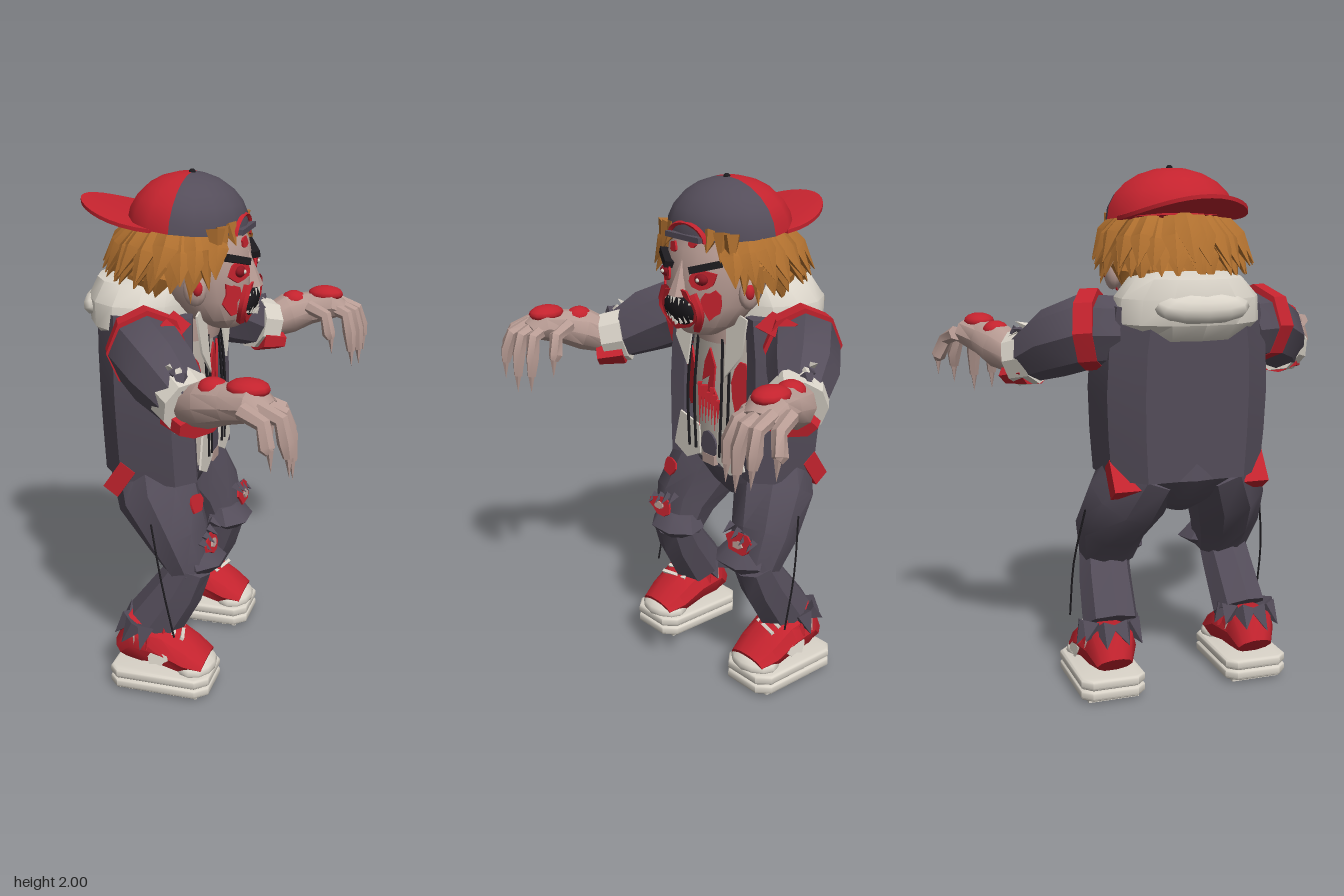
import * as THREE from 'three';
import { toCreasedNormals } from 'three/addons/utils/BufferGeometryUtils.js';

const V = (x, y, z) => new THREE.Vector3(x, y, z);
const paint = (name, color) => Object.assign(new THREE.MeshStandardMaterial({ color, side: THREE.DoubleSide }), { name });

export function createModel() {
  const model = new THREE.Group();
  const cloth = paint('charcoal cloth', 0x544d5a), red = paint('red', 0xc4232e), cream = paint('cream', 0xd9d3c8);
  const skin = paint('pale skin', 0xb79b93), hair = paint('ginger hair', 0xb0702f), black = paint('black', 0x1d1b1f);
  const gore = paint('dark red', 0x8e1722), shirtCol = paint('dirty shirt', 0xbab1a7);

  let seed = 7;
  const rnd = () => (seed = (seed * 16807) % 2147483647) / 2147483647;

  function add(name, geo, mat, parent = model) {
    const mesh = new THREE.Mesh(toCreasedNormals(geo, 0.65), mat);
    mesh.name = name;
    parent.add(mesh);
    return mesh;
  }

  // Closed skin through elliptical stations [x, y, z, sideRadius, upRadius].
  // "flat" keeps every ring horizontal.
  function loft(stations, ref, sides = 12, flat = false) {
    const pos = [], idx = [], n = stations.length;
    const pts = stations.map(s => V(s[0], s[1], s[2]));
    pts.forEach((c, i) => {
      const t = flat ? V(0, 1, 0) : pts[Math.min(i + 1, n - 1)].clone().sub(pts[Math.max(i - 1, 0)]).normalize();
      const side = ref.clone().cross(t).normalize(), up = t.clone().cross(side);
      const [, , , rw, rh = rw] = stations[i];
      for (let j = 0; j < sides; j++) {
        const a = (j / sides) * Math.PI * 2;
        pos.push(...c.clone().addScaledVector(side, rw * Math.cos(a)).addScaledVector(up, rh * Math.sin(a)));
      }
    });
    pos.push(...pts[0], ...pts[n - 1]);
    for (let j = 0; j < sides; j++) {
      const k = (j + 1) % sides, e = (n - 1) * sides;
      for (let i = 0; i < n - 1; i++) {
        const a = i * sides + j, b = i * sides + k;
        idx.push(a, b, b + sides, a, b + sides, a + sides);
      }
      idx.push(n * sides, k, j, n * sides + 1, e + j, e + k);
    }
    const g = new THREE.BufferGeometry();
    g.setAttribute('position', new THREE.Float32BufferAttribute(pos, 3));
    g.setIndex(idx);
    return g;
  }
  const Y = V(0, 1, 0), Z = V(0, 0, 1);
  // Horizontal rings [y, centreX, radiusX, radiusZ]
  const stack = (rings, sides = 16) => loft(rings.map(([y, x, rx, rz]) => [x, y, 0, rx, rz]), Z, sides, true);

  // Tapered spike from a to b
  function spike(name, a, b, r, mat, sides = 5) {
    const d = b.clone().sub(a), m = add(name, new THREE.ConeGeometry(r, d.length(), sides), mat);
    m.position.copy(a).addScaledVector(d, 0.5);
    m.quaternion.setFromUnitVectors(Y, d.normalize());
    return m;
  }
  const rod = (name, pts, r, mat) =>
    add(name, new THREE.TubeGeometry(new THREE.CatmullRomCurve3(pts), 6, r, 5), mat);

  // Thin outline facing a direction, its local x and y given as point pairs
  function plate(name, p, normal, pts, mat) {
    const shape = new THREE.Shape(pts.map(q => new THREE.Vector2(...q)));
    const m = add(name, new THREE.ExtrudeGeometry(shape, { depth: 0.008, bevelEnabled: false }), mat);
    m.position.copy(p);
    m.lookAt(p.clone().add(normal));
    return m;
  }
  // Ragged round plate
  function splat(name, p, normal, w, h, mat, rough = 0.3, n = 11) {
    const pts = [];
    for (let i = 0; i < n; i++) {
      const a = (i / n) * Math.PI * 2, k = 1 - rough * rnd();
      pts.push([Math.cos(a) * w * k, Math.sin(a) * h * k]);
    }
    return plate(name, p, normal, pts, mat);
  }
  function ball(name, p, s, mat) {
    const m = add(name, new THREE.SphereGeometry(1, 12, 8), mat);
    m.position.copy(p);
    m.scale.copy(s);
    return m;
  }
  function box(name, p, s, mat, rx = 0, ry = 0, rz = 0) {
    const m = add(name, new THREE.BoxGeometry(...s), mat);
    m.position.copy(p);
    m.rotation.set(rx, ry, rz);
    return m;
  }

  // Shirt and pelvis
  add('shirt', stack([[0.88, -0.18, 0.19, 0.25], [1.05, -0.17, 0.18, 0.23], [1.3, -0.18, 0.18, 0.25], [1.46, -0.18, 0.16, 0.24]]), shirtCol);
  add('pelvis', stack([[0.71, -0.16, 0.06, 0.05], [0.77, -0.18, 0.13, 0.15], [0.86, -0.19, 0.19, 0.26], [0.94, -0.19, 0.18, 0.26]]), cloth);
  add('neck', stack([[1.38, -0.08, 0.11, 0.13], [1.52, -0.04, 0.1, 0.12]]), skin);

  // Open jacket: C-shaped plan pulled up and tapered
  const outer = [[0.0, 0.185], [0.015, 0.25], [-0.05, 0.325], [-0.27, 0.315], [-0.37, 0.2]];
  const inner = [[-0.34, 0.17], [-0.25, 0.27], [-0.07, 0.28], [-0.03, 0.185]];
  const flip = list => list.map(([x, z]) => [x, -z]).reverse();
  const plan = [...outer, ...flip(outer), ...flip(inner), ...inner];
  const jacketGeo = new THREE.ExtrudeGeometry(new THREE.Shape(plan.map(p => new THREE.Vector2(...p))), { depth: 0.64, steps: 4, bevelEnabled: false });
  jacketGeo.rotateX(-Math.PI / 2);
  const jp = jacketGeo.attributes.position;
  for (let i = 0; i < jp.count; i++) {
    const t = jp.getY(i) / 0.64;
    jp.setXYZ(i, jp.getX(i) - 0.02 * t, 0.86 + jp.getY(i), jp.getZ(i) * (0.94 + 0.18 * t - 0.24 * t * t * t));
  }
  add('jacket', jacketGeo, cloth);

  // Thrown-back hood
  add('hood', stack([[1.38, -0.22, 0.19, 0.24], [1.44, -0.25, 0.21, 0.28], [1.53, -0.25, 0.22, 0.27], [1.6, -0.24, 0.2, 0.21], [1.63, -0.2, 0.12, 0.14]], 14), cream);
  const hoodTip = ball('hoodFold', V(-0.42, 1.5, 0), V(0.07, 0.06, 0.18), cream);
  hoodTip.rotation.z = 0.4;

  // Blood and tears on the shirt
  for (let i = 0; i < 7; i++) {
    const z = (i - 3) * 0.018;
    spike('bloodDrip', V(0.018, 1.15 + rnd() * 0.06, z), V(0.02, 1.0 + rnd() * 0.06, z), 0.012, red, 4);
  }
  plate('chestBlood', V(0.006, 1.25, 0), V(1, 0, 0), [[0, 0.1], [0.03, 0.03], [0.02, -0.06], [0.045, -0.1], [-0.02, -0.08], [0, -0.01], [-0.045, -0.04], [-0.03, 0.04]], red);

  for (const s of [1, -1]) {
    const P = (x, y, z) => V(x, y, z * s);
    const S = list => list.map(([x, y, z, ...r]) => [x, y, z * s, ...r]);
    const wide = list => list.map(([z, y]) => [-z * s, y]);

    // Shirt front
    splat('shirtBlood', P(-0.022, 1.2, 0.145), P(1, 0, 0.35), 0.045, 0.13, red, 0.15);
    plate('shirtTail', V(0.015, 0.96, 0), V(1, 0, 0), wide([[0.055, 0.06], [0.17, 0.09], [0.21, -0.06], [0.13, -0.1], [0.05, -0.06]]), cream);
    plate('collar', V(0.012, 1.4, 0), V(1, 0.12, 0), wide([[0.08, 0.13], [0.2, 0.1], [0.19, -0.04], [0.11, -0.14], [0.1, 0]]), cream);
    for (const z of [0.07, 0.11]) rod('shirtTear', [P(0.01, 1.4, z), P(0.025, 1.15, z + 0.01), P(0.026, 0.92, z)], 0.006, black);
    box('hemPatch', P(-0.275, 0.865, 0.255), [0.07, 0.13, 0.1], red, 0, 0, -0.6);

    // Sleeve
    add('sleeve', loft(S([[-0.2, 1.4, 0.22, 0.13], [-0.14, 1.4, 0.35, 0.14], [-0.04, 1.35, 0.45, 0.132], [0.07, 1.28, 0.54, 0.095]]), Y, 8), cloth);
    add('shoulderBand', loft(S([[-0.165, 1.41, 0.3, 0.14, 0.15], [-0.13, 1.405, 0.36, 0.15, 0.152]]), Y, 8), red);
    plate('shoulderPatch', P(-0.045, 1.49, 0.3), P(0.8, 0.6, 0.2), wide([[-0.08, -0.02], [-0.03, 0.05], [0.09, 0.02], [0.04, -0.05]]), red);
    add('innerCuff', loft(S([[0.035, 1.3, 0.5, 0.112], [0.095, 1.28, 0.565, 0.105]]), Y, 9), cream);
    add('tornCuff', loft(S([[0.05, 1.24, 0.5, 0.105, 0.06], [0.13, 1.22, 0.57, 0.09, 0.045]]), Y, 7), red);
    for (let i = 0; i < 4; i++)
      spike('sleeveRag', P(0.0 + i * 0.02, 1.39, 0.5 + i * 0.02), P(0.02 + i * 0.02, 1.43 - i * 0.03, 0.58 + i * 0.01), 0.03, i % 2 ? cloth : cream, 4);

    // Forearm, hand and wounds
    add('forearm', loft(S([[0.08, 1.28, 0.55, 0.065], [0.17, 1.32, 0.61, 0.085], [0.25, 1.34, 0.645, 0.07], [0.34, 1.36, 0.67, 0.09, 0.065], [0.39, 1.34, 0.68, 0.07, 0.035]]), Y, 10), skin);
    ball('forearmWound', P(0.19, 1.378, 0.62), V(0.055, 0.04, 0.052), red);
    ball('handWound', P(0.32, 1.405, 0.66), V(0.075, 0.033, 0.06), red);
    const tips = [[0.37, 1.19, 0.545], [0.45, 1.13, 0.59], [0.47, 1.12, 0.66], [0.475, 1.16, 0.74], [0.43, 1.2, 0.81]];
    tips.forEach(([x, y, z], i) => {
      const bz = 0.59 + i * 0.041;
      add('finger', loft(S([[x - 0.11, 1.36, bz, 0.03], [x - 0.03, 1.33, (bz + z) / 2, 0.027], [x - 0.01, 1.26, z, 0.028], [x, y + 0.05, z, 0.018]]), V(0, 0.3, 1), 6), skin);
      spike('nail', P(x, y + 0.06, z), P(x + 0.005, y - 0.02, z), 0.015, skin);
    });

    // Leg
    add('thigh', loft(S([[-0.2, 0.9, 0.14, 0.17, 0.14], [-0.15, 0.77, 0.2, 0.165, 0.155], [-0.06, 0.63, 0.24, 0.125, 0.14], [-0.01, 0.5, 0.24, 0.085, 0.11]]), Z, 9), cloth);
    add('shin', loft(S([[0.0, 0.52, 0.25, 0.08, 0.1], [-0.05, 0.42, 0.26, 0.1, 0.105], [-0.15, 0.265, 0.27, 0.115, 0.11]]), Z, 8), cloth);
    add('kneeFlap', loft(S([[0.0, 0.59, 0.22, 0.06, 0.1], [0.02, 0.53, 0.205, 0.1, 0.13], [0.015, 0.48, 0.22, 0.05, 0.06]]), Z, 7, true), cloth);
    splat('kneeWound', P(0.07, 0.62, 0.245), P(1, 0.25, 0), 0.085, 0.05, red, 0.4);
    splat('kneeBone', P(0.08, 0.62, 0.245), P(1, 0.25, 0), 0.03, 0.018, skin);
    for (let i = 0; i < 4; i++)
      spike('kneeThread', P(0.05, 0.68 - i * 0.012, 0.18 + i * 0.04), P(0.095, 0.65 - i * 0.012, 0.17 + i * 0.045), 0.02, cloth, 4);
    rod('looseThread', [P(-0.13, 0.72, 0.36), P(-0.08, 0.5, 0.395), P(-0.03, 0.27, 0.4)], 0.004, black);
    for (let i = 0; i < 9; i++) {
      const a = (i / 9) * Math.PI * 2, c = Math.cos(a), d = Math.sin(a), lift = rnd() * 0.05;
      if (c < 0.5) spike('trouserRag', P(-0.17 + c * 0.07, 0.28, 0.285 + d * 0.085), P(-0.19 + c * 0.12, 0.19 + lift, 0.285 + d * 0.13), 0.045, cloth, 4);
      spike('ankleGore', P(-0.16 + c * 0.08, 0.2, 0.29 + d * 0.085), P(-0.16 + c * 0.1, 0.25 + lift, 0.29 + d * 0.1), 0.028, i % 3 ? red : skin, 4);
    }

    // Shoe with layered, ribbed sole
    add('shoe', loft(S([[-0.27, 0.14, 0.29, 0.07, 0.05], [-0.22, 0.19, 0.29, 0.1, 0.11], [-0.1, 0.185, 0.29, 0.115, 0.095], [0.0, 0.14, 0.29, 0.11, 0.07], [0.07, 0.12, 0.29, 0.09, 0.035]]), Y, 10), red);
    ball('toeCap', P(0.025, 0.105, 0.29), V(0.082, 0.045, 0.113), cream);
    for (let i = 0; i < 3; i++) box('lace', P(-0.03 - i * 0.035, 0.235 + i * 0.016, 0.29), [0.014, 0.012, 0.12], cream, 0, s * 0.25, -0.5);
    splat('sideMark', P(-0.1, 0.16, 0.398), P(0, 0.2, 1), 0.055, 0.035, cream, 0.5);
    const w = 0.115, sole = new THREE.Shape();
    sole.moveTo(-0.29, -w + 0.03).lineTo(-0.26, -w).lineTo(0.05, -w).lineTo(0.09, -w + 0.04)
      .lineTo(0.09, w - 0.04).lineTo(0.05, w).lineTo(-0.26, w).lineTo(-0.29, w - 0.03);
    for (const y of [0.026, 0.068]) {
      const g = new THREE.ExtrudeGeometry(sole, { depth: 0.016, bevelSize: 0.012, bevelThickness: 0.012, bevelSegments: 3 });
      add('sole', g.rotateX(-Math.PI / 2), cream).position.set(0, y, 0.295 * s);
    }
    for (let i = 0; i < 8; i++) box('tread', P(-0.26 + i * 0.044, 0.01, 0.295), [0.018, 0.02, 0.2], cream);

    // Ear, eye, brow and cheek
    ball('ear', P(0.0, 1.6, 0.205), V(0.045, 0.06, 0.03), skin);
    ball('earWound', P(0.015, 1.61, 0.222), V(0.02, 0.03, 0.018), red);
    splat('eyeWound', P(0.134, 1.655, 0.1), P(1, 0.05, 0.5), 0.07, 0.045, red, 0.3);
    ball('eye', P(0.14, 1.655, 0.098), V(0.02, 0.022, 0.032), gore);
    ball('pupil', P(0.158, 1.655, 0.1), V(0.008, 0.008, 0.008), cream);
    box('brow', P(0.128, 1.7, 0.11), [0.04, 0.026, 0.12], black, -0.3 * s, -0.5 * s, 0);
    splat('cheekBlood', P(0.118, 1.565, 0.13), P(1, 0, 0.75), 0.05, 0.075, red, 0.5);
    rod('jawBlood', [P(0.165, 1.6, 0.08), P(0.155, 1.53, 0.11), P(0.135, 1.46, 0.07)], 0.016, red);

    // Locks either side of the brow and over the ears
    [0.1, 0.145, 0.18].forEach((z, i) =>
      spike('fringeLock', P(0.1 - z * z, 1.82, z), P(0.15 - z * z * 2, 1.75 - i * 0.03, z * 1.15), 0.038, hair));
    for (let i = 0; i < 3; i++)
      spike('sideLock', P(0.03 - i * 0.05, 1.74, 0.21), P(0.07 - i * 0.07, 1.61 - (i % 2) * 0.05, 0.255), 0.04, hair);
  }
  splat('thighPatch', V(0.012, 0.78, 0.25), V(1, 0.3, 0.2), 0.055, 0.045, red);
  splat('flyOpening', V(0.012, 0.95, 0), V(1, 0, 0), 0.05, 0.065, cloth, 0.2);
  box('fly', V(0.012, 0.89, 0), [0.02, 0.04, 0.07], skin);

  // Head and face
  add('head', stack([[1.43, 0.06, 0.06, 0.08], [1.47, 0.03, 0.12, 0.14], [1.55, -0.01, 0.17, 0.185], [1.65, -0.03, 0.19, 0.21], [1.75, -0.04, 0.18, 0.21], [1.84, -0.06, 0.15, 0.18]], 18), skin);
  spike('nose', V(0.165, 1.58, 0), V(0.145, 1.72, 0), 0.04, skin, 6);
  splat('mouthBlood', V(0.156, 1.53, 0), V(1, -0.15, 0), 0.12, 0.09, red, 0.25, 17);
  const mouth = ball('mouth', V(0.162, 1.53, 0), V(0.022, 0.06, 0.088), black);
  mouth.rotation.z = -0.15;
  for (let i = 0; i < 7; i++) {
    const z = (i - 3) * 0.022, k = Math.abs(i - 3) * 0.006;
    spike('upperTooth', V(0.184 - k, 1.582 - k, z), V(0.192 - k, 1.555 - k, z), 0.009, cream, 4);
    spike('lowerTooth', V(0.176 - k, 1.478 + k, z), V(0.192 - k, 1.502 + k, z), 0.009, cream, 4);
  }
  splat('foreheadWound', V(0.14, 1.755, 0.05), V(1, 0.1, 0.2), 0.027, 0.022, red);
  splat('foreheadWound', V(0.135, 1.775, -0.05), V(1, 0.1, -0.2), 0.02, 0.015, red);

  // Hair: base shell under rows of curved, pointed locks
  ball('hairBase', V(-0.11, 1.71, 0), V(0.21, 0.13, 0.235), hair);
  const rows = [
    { count: 19, start: 0.9, root: [1.8, 0.19], mid: [1.73, 0.255], tip: [1.63, 0.305] },
    { count: 16, start: 1.2, root: [1.74, 0.19], mid: [1.67, 0.25], tip: [1.58, 0.275] },
    { count: 12, start: 1.7, root: [1.69, 0.18], mid: [1.61, 0.22], tip: [1.54, 0.22] },
  ];
  for (const { count, start, root, mid, tip } of rows)
    for (let i = 0; i <= count; i++) {
      const a = start + (i / count) * (Math.PI * 2 - 2 * start) + (rnd() - 0.5) * 0.12, lean = rnd() * 0.03;
      const at = ([y, r], dx, ...radii) => [-0.09 + Math.cos(a) * r * 1.03 + dx, y + lean, Math.sin(a) * r, ...radii];
      add('hairLock', loft([at(root, 0, 0.02, 0.04), at(mid, 0, 0.025, 0.052), at(tip, -lean, 0.002)],
        V(-Math.sin(a), 0, Math.cos(a)), 5), hair);
    }

  // Backward cap
  const cap = new THREE.Group();
  cap.name = 'cap';
  cap.position.set(-0.085, 1.805, 0);
  cap.rotation.z = -0.08;
  model.add(cap);
  for (const [name, mat, start] of [['capFront', cloth, Math.PI / 2], ['capBack', red, -Math.PI / 2]])
    add(name, new THREE.SphereGeometry(1, 8, 6, start, Math.PI, 0, Math.PI / 2), mat, cap).scale.set(0.225, 0.188, 0.25);
  const knob = add('capButton', new THREE.SphereGeometry(0.014, 8, 6), black, cap);
  knob.position.y = 0.185;
  const arch = add('capOpening', new THREE.TorusGeometry(0.1, 0.014, 5, 12, Math.PI), red, cap);
  arch.position.set(0.205, -0.005, 0);
  arch.rotation.set(0, Math.PI / 2, 0);
  arch.scale.y = 0.6;
  box('capStrap', V(0.137, 1.795, 0), [0.025, 0.02, 0.19], cloth);
  const brim = new THREE.Shape();
  brim.moveTo(-0.16, -0.235).bezierCurveTo(-0.36, -0.24, -0.5, -0.13, -0.5, 0).bezierCurveTo(-0.5, 0.13, -0.36, 0.24, -0.16, 0.235);
  const brimGeo = new THREE.ExtrudeGeometry(brim, { depth: 0.014, bevelEnabled: false, curveSegments: 10 }).rotateX(-Math.PI / 2);
  const bp = brimGeo.attributes.position;
  for (let i = 0; i < bp.count; i++) {
    const x = bp.getX(i), z = bp.getZ(i);
    bp.setY(i, bp.getY(i) + 1.86 - (x + 0.25) * 0.08 - z * z * 0.9);
  }
  add('brim', brimGeo, red);

  return model;
}
